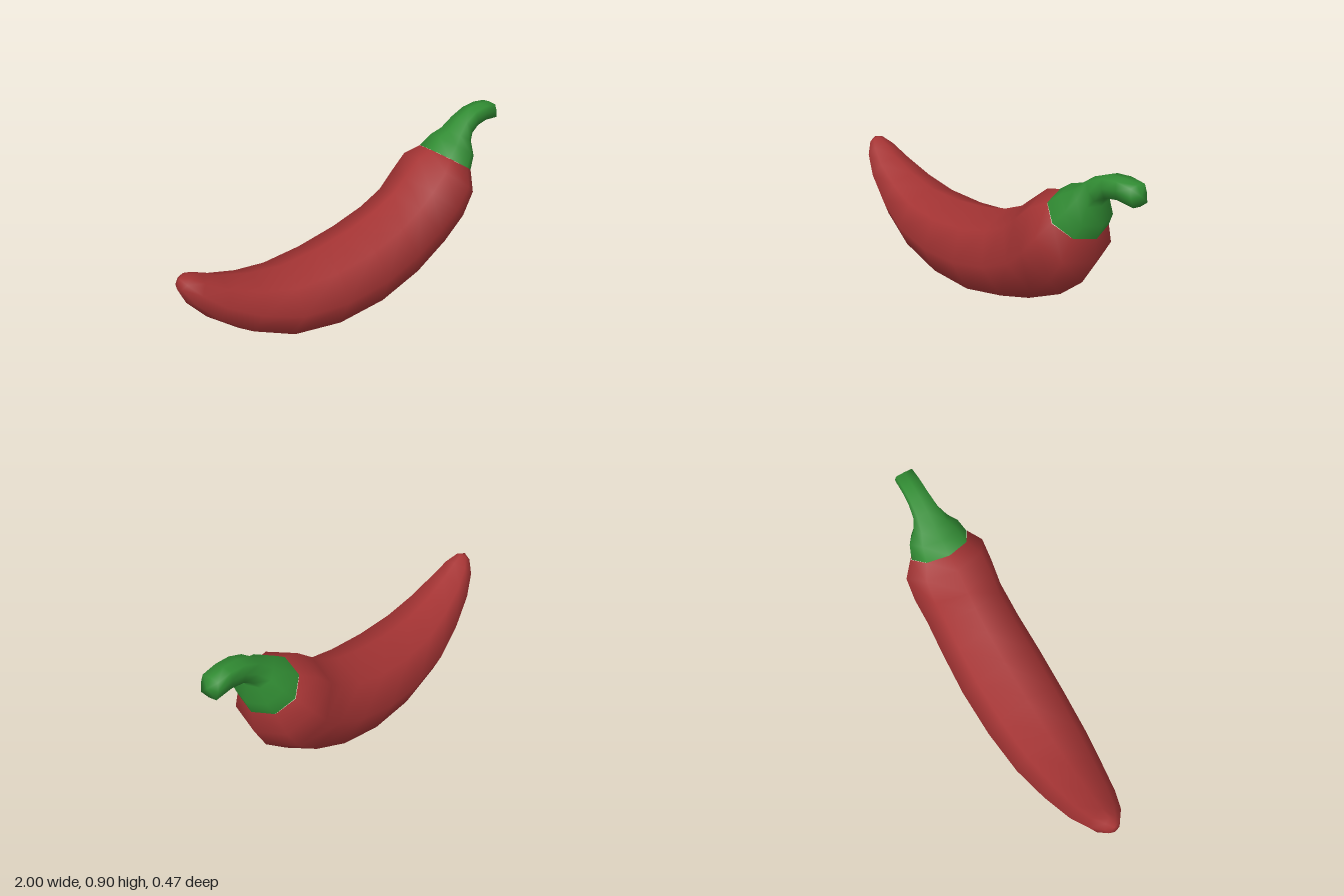
import * as THREE from 'three';

const SIDES = 8;

// Skin a smooth tube through rings [topX, topY, bottomX, bottomY, halfWidth, squareness].
// startCap and endCap are optional [x, y] points closing the ends.
function loft(name, rings, material, startCap, endCap) {
  const pos = [], index = [];
  for (const [tx, ty, bx, by, w, square = 0] of rings) {
    const cx = (tx + bx) / 2, cy = (ty + by) / 2;
    for (let i = 0; i < SIDES; i++) {
      const a = (i / SIDES) * Math.PI * 2;
      const k = i % 2 ? 1 + square : 1; // push diagonal corners out
      const c = Math.cos(a) * k, s = Math.sin(a) * k;
      pos.push(cx + (tx - cx) * c, cy + (ty - cy) * c, w * s);
    }
  }
  for (let r = 0; r < rings.length - 1; r++) {
    for (let i = 0; i < SIDES; i++) {
      const j = (i + 1) % SIDES, p = r * SIDES, q = p + SIDES;
      index.push(p + i, p + j, q + i, p + j, q + j, q + i);
    }
  }
  const cap = (point, base, flip) => {
    const apex = pos.length / 3;
    pos.push(point[0], point[1], 0);
    for (let i = 0; i < SIDES; i++) {
      const a = base + i, b = base + ((i + 1) % SIDES);
      index.push(apex, flip ? b : a, flip ? a : b);
    }
  };
  if (startCap) cap(startCap, 0, true);
  if (endCap) cap(endCap, (rings.length - 1) * SIDES, false);
  const geo = new THREE.BufferGeometry();
  geo.setAttribute('position', new THREE.Float32BufferAttribute(pos, 3));
  geo.setIndex(index);
  geo.computeVertexNormals();
  const mesh = new THREE.Mesh(geo, material);
  mesh.name = name;
  return mesh;
}

export function createModel() {
  const red = new THREE.MeshStandardMaterial({ name: 'pepperRed', color: 0xa53434 });
  const green = new THREE.MeshStandardMaterial({ name: 'stemGreen', color: 0x318c33 });
  const group = new THREE.Group();
  group.name = 'chilliPepper';

  // Curved fruit, from the pointed tip to the shoulder
  group.add(loft('fruit', [
    [-0.94, 0.585, -1.0, 0.525, 0.042],
    [-0.88, 0.56, -0.965, 0.44, 0.088],
    [-0.78, 0.508, -0.87, 0.32, 0.13],
    [-0.62, 0.455, -0.71, 0.18, 0.17],
    [-0.44, 0.422, -0.49, 0.063, 0.208],
    [-0.22, 0.43, -0.21, 0.004, 0.23],
    [0.0, 0.465, 0.08, 0.015, 0.237],
    [0.17, 0.515, 0.35, 0.09, 0.229],
    [0.285, 0.57, 0.565, 0.208, 0.222],
    [0.36, 0.635, 0.7, 0.33, 0.229],
    [0.455, 0.715, 0.765, 0.455, 0.223],
    [0.54, 0.74, 0.77, 0.58, 0.163],
  ], red, [-0.985, 0.574]));

  // Cap leaf flowing into the hooked stem
  group.add(loft('capAndStem', [
    [0.538, 0.742, 0.772, 0.578, 0.16],
    [0.605, 0.79, 0.8, 0.65, 0.138],
    [0.67, 0.812, 0.786, 0.74, 0.095, 0.05],
    [0.74, 0.865, 0.802, 0.775, 0.068, 0.15],
    [0.82, 0.9, 0.845, 0.805, 0.058, 0.2],
    [0.9, 0.908, 0.91, 0.82, 0.053, 0.25],
    [0.975, 0.9, 0.998, 0.812, 0.05, 0.25],
  ], green, null, [1.0, 0.858]));

  return group;
}
